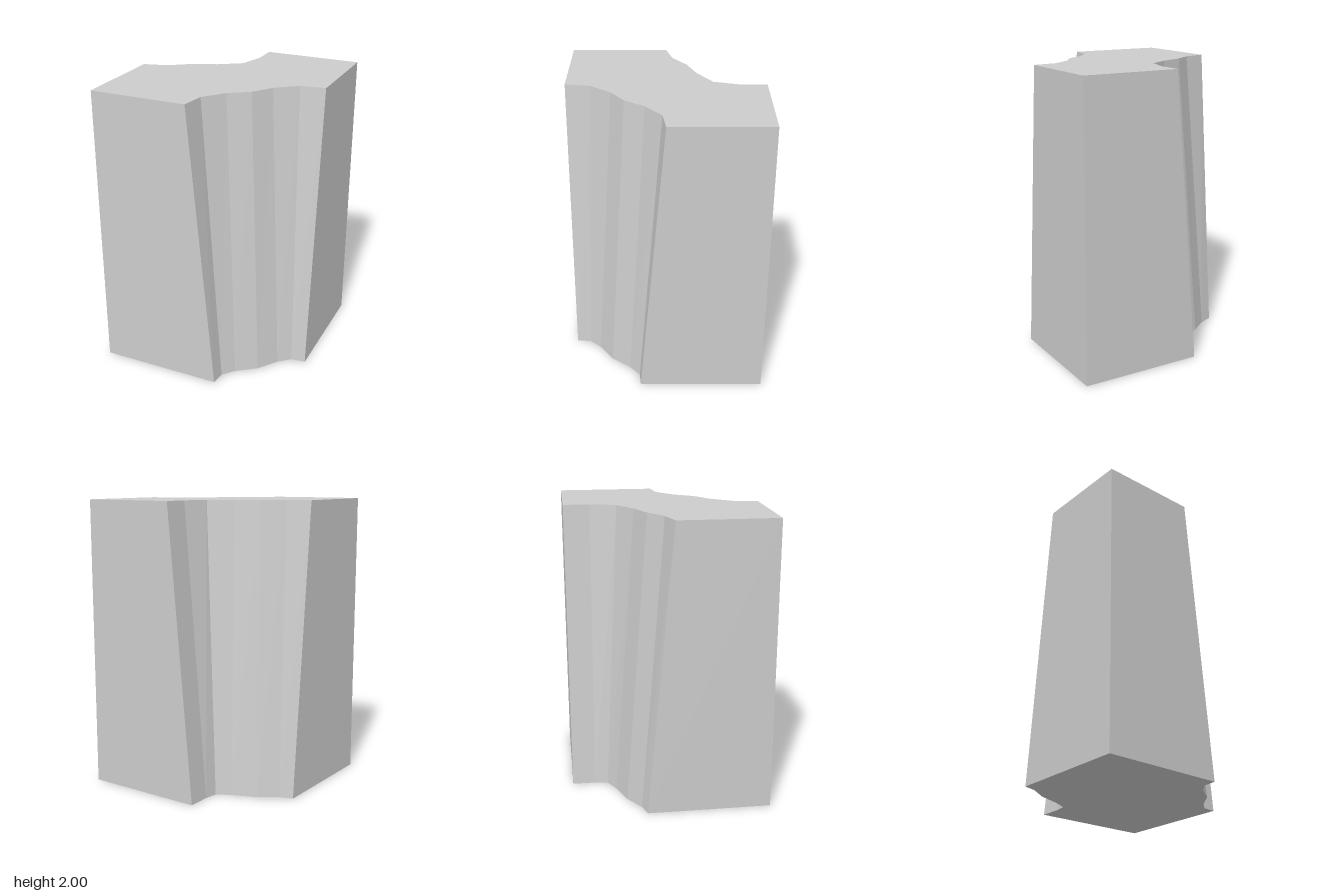
import * as THREE from 'three';

const HEIGHT = 2, H = 0.67;

// Profiles of the two eroded corners as [x, z], at the top and at the base
const frontTop = [[0, H], [0.023, 0.5], [0.135, 0.36], [0.268, 0.268], [0.36, 0.135], [0.5, 0.023], [H, 0]];
const frontBase = [[0.18, H], [0.19, 0.57], [0.26, 0.49], [0.393, 0.393], [0.49, 0.26], [0.57, 0.19], [H, 0.18]];
const backTop = [[0, -H], [0, -0.49], [-0.05, -0.312], [-0.205, -0.21], [-0.37, -0.143], [-0.505, -0.045], [-H, 0]];
const backBase = [[-0.18, -H], [-0.18, -0.51], [-0.195, -0.42], [-0.29, -0.365], [-0.455, -0.30], [-0.58, -0.21], [-H, -0.18]];

// Full outline, counter-clockwise from above, with the two square corners
const outline = (front, back) => [[-H, H], ...front, [H, -H], ...back];

function makeMesh(name, positions, material) {
  const geometry = new THREE.BufferGeometry();
  geometry.setAttribute('position', new THREE.Float32BufferAttribute(positions, 3));
  geometry.computeVertexNormals(); // unshared corners give flat faces
  const mesh = new THREE.Mesh(geometry, material);
  mesh.name = name;
  return mesh;
}

// Flat end face filling an outline
function cap(points, y, up) {
  const contour = points.map(([x, z]) => new THREE.Vector2(x, -z));
  const positions = [];
  for (const [a, b, c] of THREE.ShapeUtils.triangulateShape(contour, [])) {
    for (const i of up ? [a, b, c] : [a, c, b]) positions.push(points[i][0], y, points[i][1]);
  }
  return positions;
}

// Sloping faces joining the base outline to the top outline
function walls(base, top) {
  const positions = [];
  base.forEach((b0, i) => {
    const j = (i + 1) % base.length;
    const low = ([x, z]) => [x, 0, z], high = ([x, z]) => [x, HEIGHT, z];
    positions.push(
      ...low(b0), ...low(base[j]), ...high(top[j]),
      ...low(b0), ...high(top[j]), ...high(top[i]));
  });
  return positions;
}

export function createModel() {
  const stone = new THREE.MeshStandardMaterial({ color: 0xcccccc });
  stone.name = 'light grey stone';
  const group = new THREE.Group();
  group.name = 'rockPillar';
  const top = outline(frontTop, backTop), base = outline(frontBase, backBase);
  group.add(
    makeMesh('pillarWalls', walls(base, top), stone),
    makeMesh('topFace', cap(top, HEIGHT, true), stone),
    makeMesh('baseFace', cap(base, 0, false), stone));
  return group;
}
